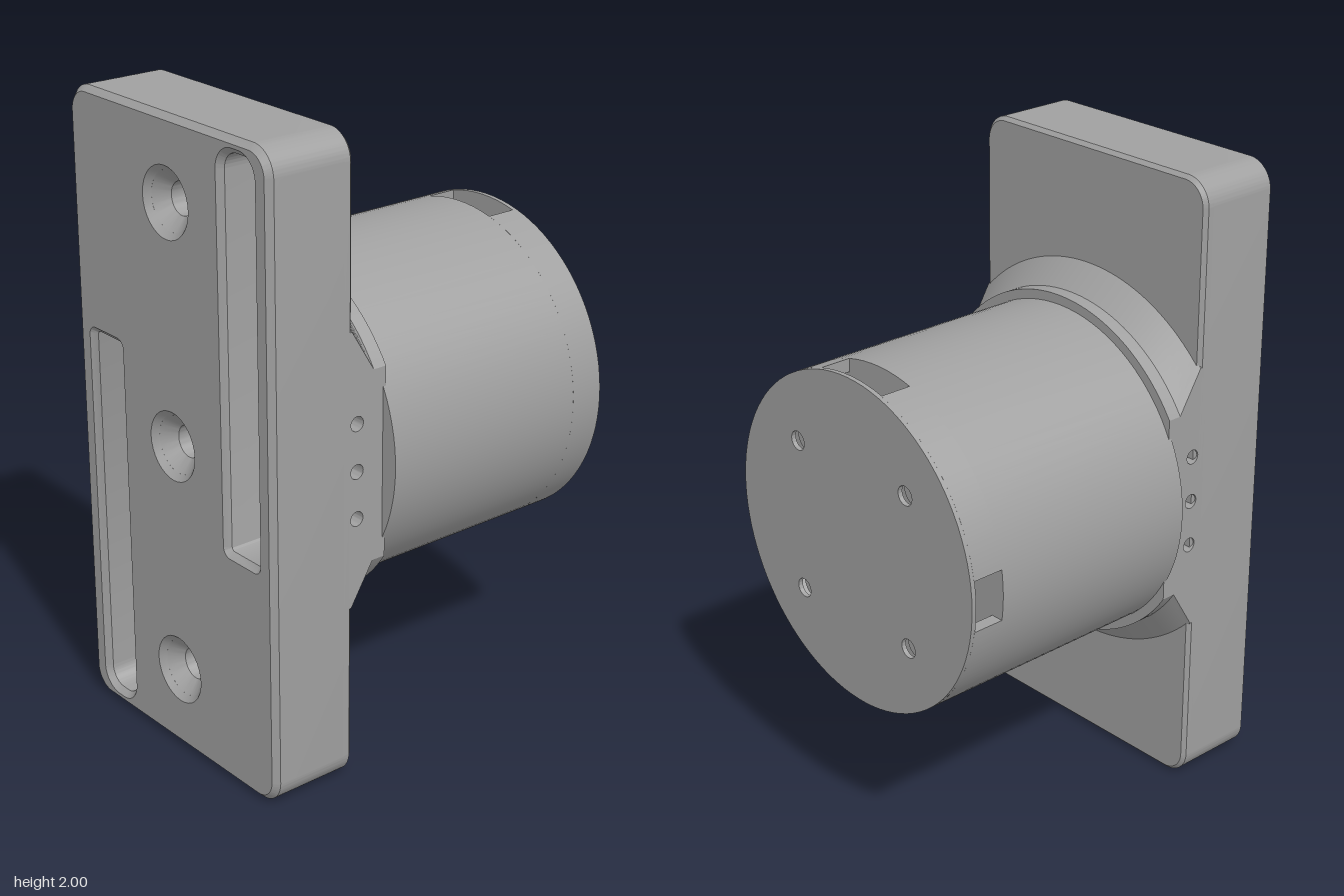
import * as THREE from 'three';
import { toCreasedNormals, mergeVertices } from 'three/addons/utils/BufferGeometryUtils.js';

const CY = 1; // height of the body axis
const HALF_W = 0.468; // half width of the plate
const BODY_R = 0.525;

// Rounded rectangle with separate top and bottom corner radii
function roundRect(Type, x0, x1, y0, y1, rt, rb) {
  const s = new Type();
  s.absarc(x1 - rb, y0 + rb, rb, -Math.PI / 2, 0);
  s.absarc(x1 - rt, y1 - rt, rt, 0, Math.PI / 2);
  s.absarc(x0 + rt, y1 - rt, rt, Math.PI / 2, Math.PI);
  s.absarc(x0 + rb, y0 + rb, rb, Math.PI, Math.PI * 1.5);
  s.closePath();
  return s;
}

function circle(Type, x, y, r) {
  const c = new Type();
  c.absarc(x, y, r, 0, Math.PI * 2);
  return c;
}

// Extrude a shape between two z values, with an optional chamfer on both ends
function slab(shape, z0, z1, bevel = 0, segments = 16) {
  const g = new THREE.ExtrudeGeometry(shape, {
    depth: z1 - z0 - 2 * bevel, curveSegments: segments, bevelEnabled: bevel > 0,
    bevelThickness: bevel, bevelSize: bevel, bevelOffset: -bevel, bevelSegments: 1,
  });
  g.translate(0, 0, z0 + bevel);
  return toCreasedNormals(g, 0.5);
}

// Cylinder along z
function zCylinder(r, x, y, z0, z1, segments = 32, open = false) {
  const g = new THREE.CylinderGeometry(r, r, z1 - z0, segments, 1, open);
  g.rotateX(Math.PI / 2);
  g.translate(x, y, (z0 + z1) / 2);
  return g;
}

// Half of the conical collar, cut flat at the plate's sides
function collarArc(sign) {
  const rows = [[0.345, 0.635], [0.33, 0.635], [0.25, 0.555], [0.205, 0.555], [0.205, 0.41]];
  const n = 48, pos = [], idx = [];
  rows.forEach(([z, r], j) => {
    const a0 = Math.acos(Math.min(1, HALF_W / r));
    for (let i = 0; i <= n; i++) {
      const a = a0 + (Math.PI - 2 * a0) * i / n;
      pos.push(sign * r * Math.cos(a), CY + sign * r * Math.sin(a), z);
      if (j && i) {
        const q = j * (n + 1) + i, p = q - n - 1;
        idx.push(p - 1, q - 1, p, p, q - 1, q);
      }
    }
  });
  const g = new THREE.BufferGeometry();
  g.setAttribute('position', new THREE.Float32BufferAttribute(pos, 3));
  g.setIndex(idx);
  return toCreasedNormals(mergeVertices(g), 0.4);
}

// Piece of the rear wall between two notches of given half widths
function wallSector(a0, half0, a1, half1) {
  const rIn = 0.485, s = new THREE.Shape();
  s.absarc(0, CY, BODY_R, a0 + Math.asin(half0 / BODY_R), a1 - Math.asin(half1 / BODY_R), false);
  s.absarc(0, CY, rIn, a1 - Math.asin(half1 / rIn), a0 + Math.asin(half0 / rIn), true);
  s.closePath();
  return s;
}

export function createModel() {
  const model = new THREE.Group();
  const grey = new THREE.MeshStandardMaterial({ color: 0xa0a0a0, side: THREE.DoubleSide });
  grey.name = 'machined grey';
  const add = (name, geometry) => {
    const m = new THREE.Mesh(geometry, grey);
    m.name = name;
    model.add(m);
    return m;
  };

  // Mounting plate: slotted front layer over a thin floor layer
  const screwHeights = [0.265, 1.005, 1.745];
  const outline = () => roundRect(THREE.Shape, -HALF_W, HALF_W, 0, 2, 0.085, 0.085);
  const front = outline();
  front.holes.push(roundRect(THREE.Path, 0.255, 0.393, 0.762, 1.953, 0.055, 0.012));
  front.holes.push(roundRect(THREE.Path, -0.393, -0.255, 0.047, 1.245, 0.012, 0.055));
  screwHeights.forEach((y) => front.holes.push(circle(THREE.Path, 0, y, 0.09)));
  add('plateFront', slab(front, 0.338, 0.615, 0.018));
  const floor = outline();
  floor.holes.push(circle(THREE.Path, 0, CY, 0.41));
  add('plateFloor', slab(floor, 0.325, 0.37, 0.012, 24));

  // Countersunk screw holes
  screwHeights.forEach((y) => {
    const profile = [[0.09, 0.597], [0.05, 0.557], [0.05, 0.557], [0.05, 0.37]];
    const g = new THREE.LatheGeometry(profile.map(([r, z]) => new THREE.Vector2(r, z)), 40);
    g.rotateX(Math.PI / 2);
    g.translate(0, y, 0);
    add('countersink', toCreasedNormals(g, 0.5));
  });

  // Collar joining the plate to the round body
  add('collarTop', collarArc(1));
  add('collarBottom', collarArc(-1));
  add('collarBore', zCylinder(0.41, 0, CY, 0.205, 0.345, 64, true));

  // Flat collar sides with three pin holes each
  const cheek = new THREE.Shape();
  const ya = Math.sqrt(0.635 ** 2 - HALF_W ** 2), yb = Math.sqrt(0.555 ** 2 - HALF_W ** 2);
  [[0.345, -ya], [0.345, ya], [0.33, ya], [0.25, yb], [0.205, yb], [0.205, -yb], [0.25, -yb], [0.33, -ya]]
    .forEach(([z, y], i) => (i ? cheek.lineTo(-z, y) : cheek.moveTo(-z, y)));
  cheek.closePath();
  [-0.148, 0, 0.148].forEach((y) => cheek.holes.push(circle(THREE.Path, -0.31, y, 0.023)));
  [1, -1].forEach((side) => {
    const g = slab(cheek, 0, 0.05);
    g.rotateY(Math.PI / 2);
    g.translate(side > 0 ? HALF_W - 0.05 : -HALF_W, CY, 0);
    add(side > 0 ? 'leftCollarSide' : 'rightCollarSide', g);
  });

  // Round body
  add('body', zCylinder(BODY_R, 0, CY, -0.5, 0.215, 96));

  // Rear wall with notches at the top, bottom and right
  const q = Math.PI / 2;
  [[-q, 0.135, q, 0.135], [q, 0.135, 2 * q, 0.08], [2 * q, 0.08, 3 * q, 0.135]].forEach((a) => {
    add('rearWall', slab(wallSector(...a), -0.602, -0.5, 0, 48));
  });

  // Rear cover with four screw holes backed by standoffs
  const cover = circle(THREE.Shape, 0, CY, BODY_R);
  for (const sx of [-1, 1]) for (const sy of [-1, 1]) {
    const x = sx * 0.245, y = CY + sy * 0.245;
    cover.holes.push(circle(THREE.Path, x, y, 0.03));
    add('standoff', zCylinder(0.045, x, y, -0.5, -0.58));
  }
  add('rearCover', slab(cover, -0.615, -0.6, 0, 48));

  // Bolts on the body's front face and in the slot floors
  for (const sx of [-1, 1]) {
    add('bolt', zCylinder(0.054, sx * 0.325, CY, 0.215, 0.24));
    add('boltHead', zCylinder(0.046, sx * 0.325, CY, 0.24, 0.26));
    for (const sy of [-1, 1]) {
      add('bolt', zCylinder(0.05, sx * 0.235, CY + sy * 0.23, 0.215, 0.25));
      add('slotScrew', zCylinder(0.045, sx * 0.39, CY + sy * 0.23, 0.35, 0.385));
    }
  }
  return model;
}
